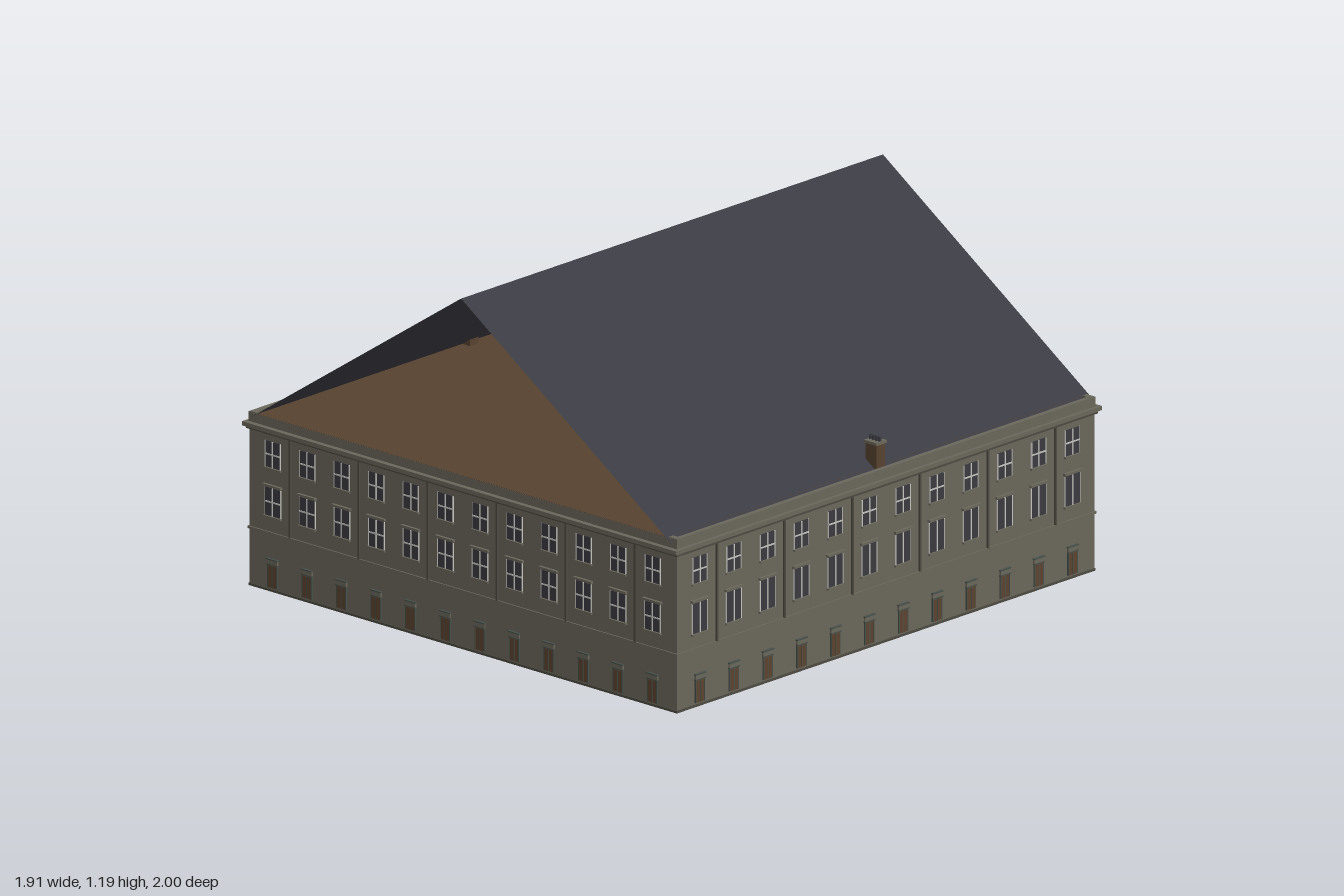
import * as THREE from 'three';
import { mergeGeometries } from 'three/addons/utils/BufferGeometryUtils.js';

function material(name, color, side = THREE.FrontSide) {
  const m = new THREE.MeshStandardMaterial({ color, side });
  m.name = name;
  return m;
}

const stone = material('olive stone', 0x69665a);
const darkStone = material('dark stone', 0x4c4a40);
const slate = material('slate', 0x3b3b43, THREE.DoubleSide);
const glass = material('dark glass', 0x3a393f);
const paint = material('pale window paint', 0xc4c4be);
const wood = material('brown wood', 0x5c432f);
const brick = material('brown brick', 0x57422f);
const green = material('grey green trim', 0x46504a);

// Box geometry placed by its centre in x and z and by its bottom and top in y
function block(x, y0, y1, z, w, d) {
  return new THREE.BoxGeometry(w, y1 - y0, d).translate(x, (y0 + y1) / 2, z);
}

function part(name, geometries, mat) {
  const mesh = new THREE.Mesh(mergeGeometries(geometries), mat);
  mesh.name = name;
  return mesh;
}

// One facade in its own plane, facing +z with the wall surface at z = 0
function facade(name, pitch, rows) {
  const g = new THREE.Group();
  g.name = name;
  const panes = [], bars = [], lintels = [], doors = [], frames = [], hoods = [], pipes = [];
  for (let i = 0; i < 12; i++) {
    const x = (i - 5.5) * pitch;
    // Windows with a glazing cross and side frames
    for (const { y0, y1, w, cross } of rows) {
      panes.push(block(x, y0, y1, 0.001, w, 0.004));
      bars.push(block(x, y0, y1, 0.003, 0.005, 0.004));
      if (cross) bars.push(block(x, (y0 + y1) / 2 - 0.0025, (y0 + y1) / 2 + 0.0025, 0.003, w, 0.004));
      for (const s of [-1, 1]) bars.push(block(x + s * w / 2, y0, y1, 0.002, 0.003, 0.004));
      lintels.push(block(x, y0 - 0.007, y0 - 0.001, 0.004, w + 0.008, 0.008));
    }
    const low = rows[0];
    lintels.push(block(x, low.y1 + 0.004, low.y1 + 0.012, 0.005, low.w + 0.012, 0.01));
    // Door with trim and a small hood
    doors.push(block(x, 0.014, 0.088, 0.002, 0.036, 0.006));
    for (const s of [-1, 1]) frames.push(block(x + s * 0.02, 0.014, 0.092, 0.002, 0.004, 0.007));
    frames.push(block(x, 0.014, 0.088, 0.004, 0.003, 0.004));
    frames.push(block(x, 0.09, 0.094, 0.004, 0.048, 0.008));
    frames.push(block(x, 0.108, 0.112, 0.004, 0.05, 0.009));
    hoods.push(block(x, 0.094, 0.108, 0.003, 0.046, 0.007));
  }
  // Narrow pipes after every second bay
  for (const k of [-5, -3, -1, 1, 3, 5]) {
    pipes.push(block(k * pitch, 0.2, 0.535, 0.003, 0.007, 0.007));
  }
  g.add(
    part('windowPanes', panes, glass), part('glazingBars', bars, paint),
    part('sillsAndLintels', lintels, stone), part('doors', doors, wood),
    part('doorTrim', frames, green), part('doorHoods', hoods, stone),
    part('wallPipes', pipes, darkStone)
  );
  return g;
}

function chimney(x) {
  const g = new THREE.Group();
  g.name = 'chimney';
  const pots = [];
  for (let i = 0; i < 4; i++) {
    pots.push(new THREE.CylinderGeometry(0.005, 0.006, 0.018, 8).translate((i - 1.5) * 0.013, 0.681, 0));
  }
  g.add(
    part('chimneyStack', [block(0, 0.56, 0.665, 0, 0.048, 0.04)], brick),
    part('chimneyCap', [block(0, 0.665, 0.674, 0, 0.056, 0.048)], stone),
    part('chimneyPots', pots, glass)
  );
  g.position.x = x;
  return g;
}

export function createModel() {
  const model = new THREE.Group();
  model.name = 'terraceBlock';
  const X = 0.94, Z = 0.98;

  // Walls, base, string course and stepped cornice
  model.add(
    part('walls', [block(0, 0.004, 0.56, 0, 2 * X, 2 * Z)], stone),
    part('plinth', [block(0, 0, 0.008, 0, 2 * X + 0.006, 2 * Z + 0.006)], darkStone),
    part('stringCourse', [block(0, 0.193, 0.201, 0, 2 * X + 0.01, 2 * Z + 0.01)], stone),
    part('lowerCornice', [block(0, 0.532, 0.542, 0, 2 * X + 0.016, 2 * Z + 0.016)], darkStone),
    part('upperCornice', [block(0, 0.542, 0.556, 0, 2 * X + 0.03, 2 * Z + 0.04)], stone)
  );

  // Parapet ring around the roof
  const parapet = [];
  for (const s of [-1, 1]) {
    parapet.push(block(s * (X - 0.007), 0.556, 0.589, 0, 0.018, 2 * Z + 0.004));
    parapet.push(block(0, 0.556, 0.587, s * (Z - 0.007), 2 * X, 0.018));
    for (const t of [-1, 1]) parapet.push(block(s * (X - 0.017), 0.556, 0.59, t * (Z - 0.01), 0.034, 0.02));
  }
  model.add(part('parapet', parapet, stone));

  // Attic floor, open at both gable ends
  model.add(part('atticFloor', [block(0, 0.556, 0.588, 0, 1.81, 2 * Z + 0.002)], brick));

  // Two thin roof slopes meeting at the ridge
  const eave = 0.925, low = 0.574, top = 1.19;
  for (const s of [-1, 1]) {
    const slope = new THREE.PlaneGeometry(Math.hypot(eave, top - low), 1.98);
    slope.rotateX(-Math.PI / 2).rotateZ(-s * Math.atan2(top - low, eave));
    slope.translate(s * eave / 2, (top + low) / 2, 0);
    model.add(part(s > 0 ? 'leftRoofSlope' : 'rightRoofSlope', [slope], slate));
  }

  // Four chimneys across the middle
  for (const x of [-0.895, -0.3, 0.3, 0.895]) model.add(chimney(x));

  // Facades, repeated on opposite sides
  const endRows = [{ y0: 0.256, y1: 0.35, w: 0.068, cross: true }, { y0: 0.42, y1: 0.508, w: 0.066, cross: true }];
  const sideRows = [{ y0: 0.25, y1: 0.352, w: 0.07, cross: false }, { y0: 0.42, y1: 0.508, w: 0.066, cross: true }];
  for (let i = 0; i < 4; i++) {
    const end = i % 2 === 0;
    const f = facade(['frontFacade', 'leftFacade', 'backFacade', 'rightFacade'][i], end ? 0.152 : 0.159, end ? endRows : sideRows);
    const a = i * Math.PI / 2, d = end ? Z : X;
    f.rotation.y = a;
    f.position.set(Math.sin(a) * d, 0, Math.cos(a) * d);
    model.add(f);
  }
  return model;
}
